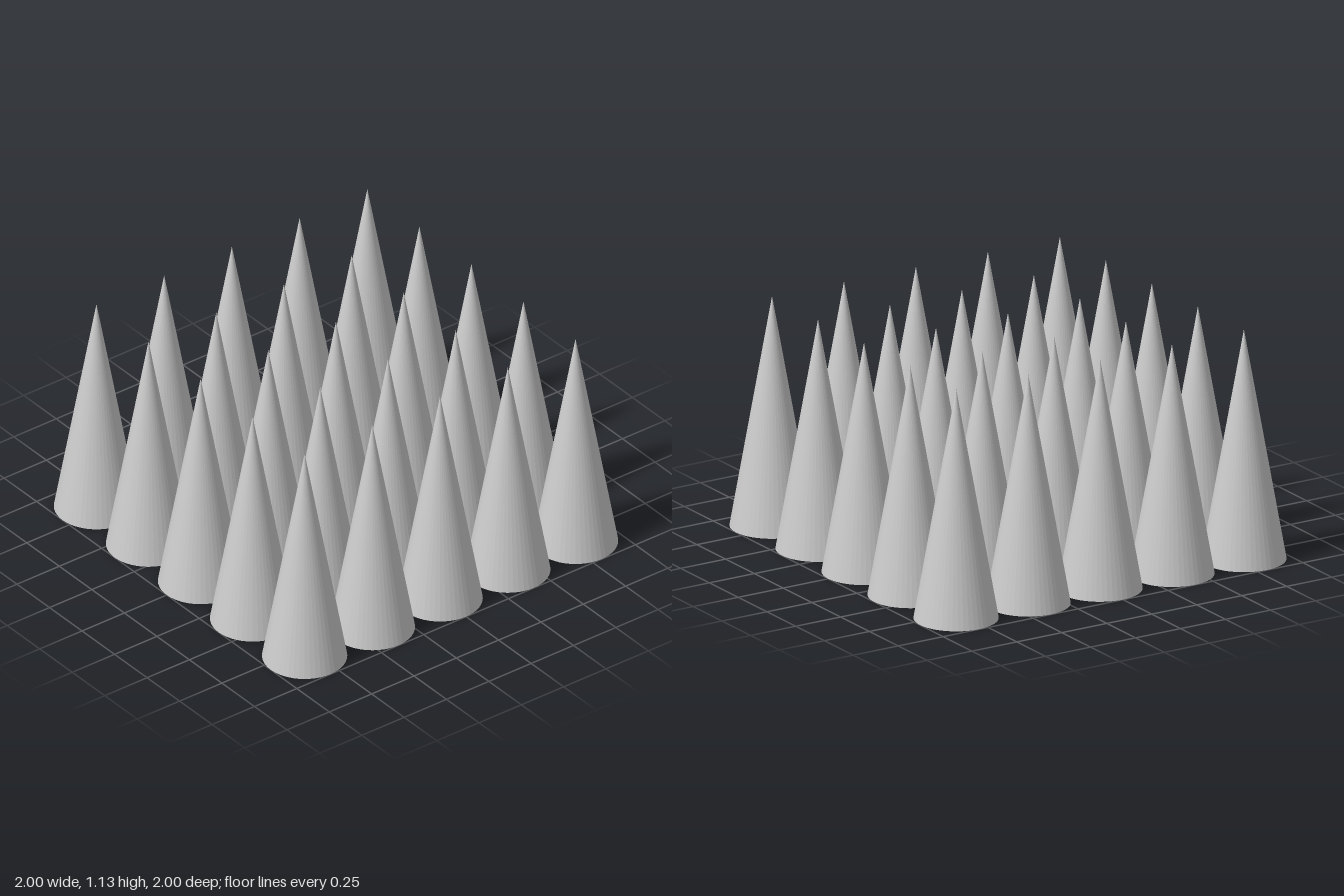
import * as THREE from 'three';

const COUNT = 5;       // cones per side of the square grid
const RADIUS = 0.2;    // neighbouring bases just touch
const HEIGHT = RADIUS / Math.tan(THREE.MathUtils.degToRad(10));

export function createModel() {
  const group = new THREE.Group();
  group.name = 'coneArray';

  // One closed cone standing on y = 0, shared by the whole grid
  const geometry = new THREE.ConeGeometry(RADIUS, HEIGHT, 48);
  geometry.translate(0, HEIGHT / 2, 0);
  const material = new THREE.MeshStandardMaterial({ color: 0xcccccc, flatShading: true });

  const place = (i) => (i - (COUNT - 1) / 2) * 2 * RADIUS;
  for (let row = 0; row < COUNT; row++) {
    for (let col = 0; col < COUNT; col++) {
      const cone = new THREE.Mesh(geometry, material);
      cone.name = `coneRow${row + 1}Column${col + 1}`;
      cone.position.set(place(col), 0, place(row));
      group.add(cone);
    }
  }
  return group;
}
